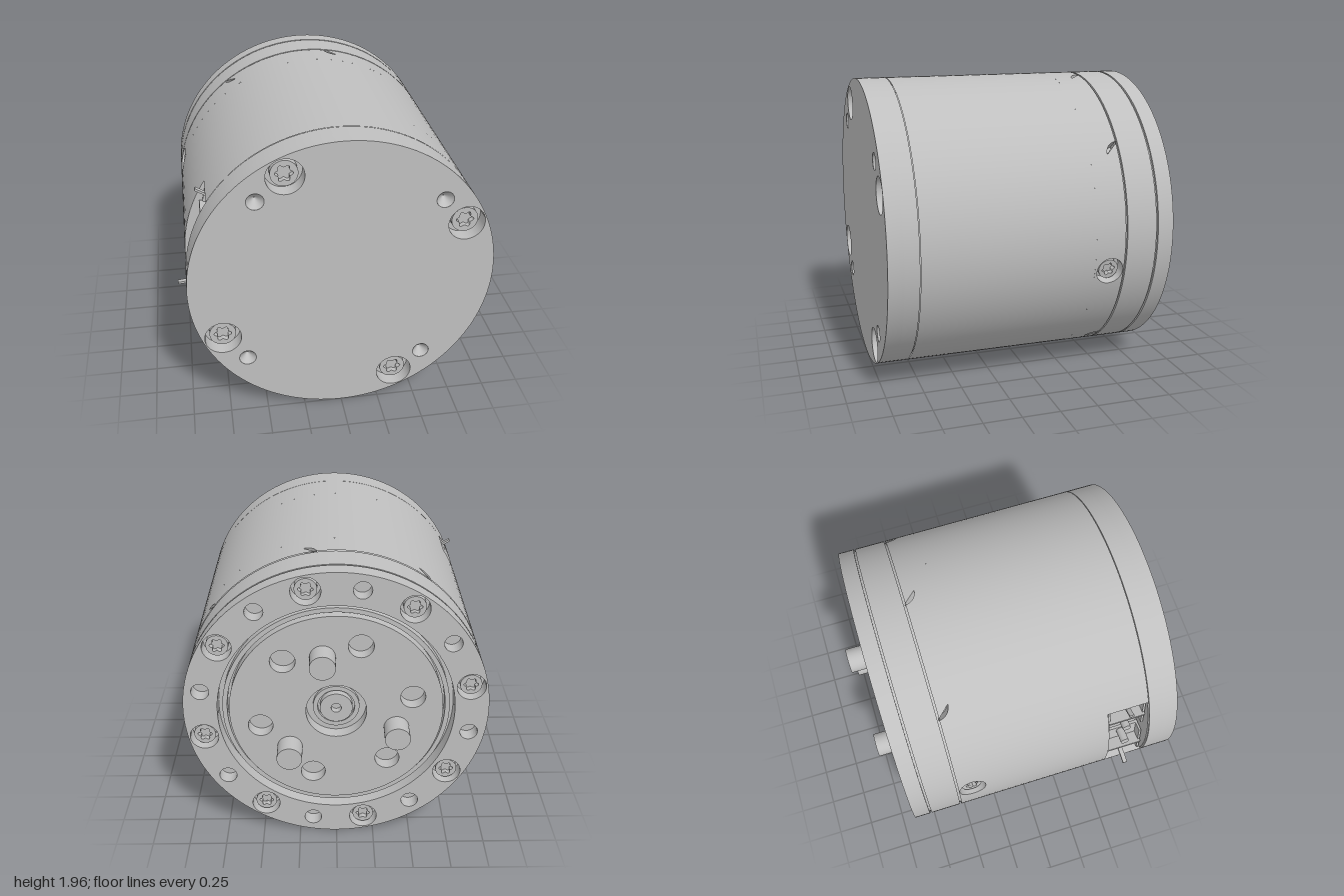
import * as THREE from 'three';
import { toCreasedNormals } from 'three/addons/utils/BufferGeometryUtils.js';
import { ParametricGeometry } from 'three/addons/geometries/ParametricGeometry.js';

const R = 0.978, DEG = Math.PI / 180;
const metal = new THREE.MeshStandardMaterial({ color: 0xbfbfbf, side: THREE.DoubleSide });
metal.name = 'grey metal';

const polar = (r, deg) => [r * Math.cos(deg * DEG), r * Math.sin(deg * DEG)];
const every = (start, step, n) => Array.from({ length: n }, (_, i) => start + i * step);

function add(parent, name, geometry, x = 0, y = 0, z = 0) {
  const mesh = new THREE.Mesh(geometry, metal);
  mesh.name = name;
  mesh.position.set(x, y, z);
  parent.add(mesh);
  return mesh;
}

// Closed cylinder along z between z0 and z1
function rod(parent, name, r, z0, z1, x = 0, y = 0, sides = 128) {
  const g = new THREE.CylinderGeometry(r, r, z1 - z0, sides).rotateX(Math.PI / 2);
  return add(parent, name, g, x, y, (z0 + z1) / 2);
}

// Round plate with round holes [x, y, r], between z0 and z1
function plate(parent, name, r, holes, z0, z1) {
  const shape = new THREE.Shape().absarc(0, 0, r, 0, Math.PI * 2);
  for (const [x, y, hr] of holes) shape.holes.push(new THREE.Path().absarc(x, y, hr, 0, Math.PI * 2, true));
  const g = new THREE.ExtrudeGeometry(shape, { depth: z1 - z0, bevelEnabled: false, curveSegments: 64 });
  return add(parent, name, toCreasedNormals(g, 0.6), 0, 0, z0);
}

// Surface given by angle, height along z and radius
function surface(parent, name, fn, nu, nv) {
  const g = new ParametricGeometry((u, v, t) => {
    const [a, z, r] = fn(u, v);
    t.set(r * Math.cos(a), r * Math.sin(a), z);
  }, nu, nv);
  return add(parent, name, g);
}

function band(parent, name, r, z0, z1, a0 = 0, a1 = 360) {
  const n = Math.max(6, Math.ceil((a1 - a0) / 3));
  return surface(parent, name, (u, v) => [(a0 + (a1 - a0) * u) * DEG, z0 + (z1 - z0) * v, r], n, 1);
}

// Screw head facing +z with a six-lobed socket
function screw(parent, name, r, pos, dir) {
  const g = new THREE.Group();
  g.name = name;
  const shape = new THREE.Shape().absarc(0, 0, r, 0, Math.PI * 2);
  const star = every(0, 5, 72).map((d) => new THREE.Vector2(...polar(r * (0.57 + 0.1 * Math.cos(6 * d * DEG)), d)));
  shape.holes.push(new THREE.Path(star.reverse()));
  const head = new THREE.ExtrudeGeometry(shape, { depth: 0.035, bevelEnabled: false, curveSegments: 20 });
  add(g, 'screwHead', toCreasedNormals(head, 0.6), 0, 0, -0.035);
  rod(g, 'socketFloor', r, -0.055, -0.035, 0, 0, 32);
  g.position.set(...pos);
  g.quaternion.setFromUnitVectors(new THREE.Vector3(0, 0, 1), new THREE.Vector3(...dir));
  parent.add(g);
}

// Wall patch around one cut in the casing; rho gives the cut's edge about (cs, cz)
const PZ = -0.44, PZ0 = -0.535, PZ1 = -0.335, HALF = 0.115;
function wallPatch(parent, deg, cs, cz, rho) {
  const corners = [[-HALF, PZ0 - PZ], [HALF, PZ0 - PZ], [HALF, PZ1 - PZ], [-HALF, PZ1 - PZ]];
  const edge = (u) => {
    const k = Math.min(3, Math.floor(u * 4)), f = u * 4 - k, a = corners[k], b = corners[(k + 1) % 4];
    const p = [a[0] + (b[0] - a[0]) * f, a[1] + (b[1] - a[1]) * f];
    const t = Math.atan2(p[1] - cz, p[0] - cs), d = rho(t);
    return [p, [cs + d * Math.cos(t), cz + d * Math.sin(t)]];
  };
  const place = (s, z, r) => [deg * DEG + s / R, PZ + z, r];
  surface(parent, 'casingPatch', (u, v) => {
    const [p, q] = edge(u);
    return place(p[0] + (q[0] - p[0]) * v, p[1] + (q[1] - p[1]) * v, R);
  }, 96, 3);
  surface(parent, 'cutWall', (u, v) => {
    const q = edge(u)[1];
    return place(q[0], q[1], R - 0.078 * v);
  }, 96, 1);
}

// Polar edge of a crescent: a circle quadrant closed by its chord
const CUT = 0.09, LC = 0.0545;
function crescent(t) {
  const c = Math.cos(t), s = Math.sin(t);
  const b = LC * (c - s);
  const arc = -b + Math.sqrt(b * b + CUT * CUT - 2 * LC * LC);
  const k = s - c;
  return k > 1e-6 ? Math.min(arc, (2 * LC - CUT) / k) : arc;
}

export function createModel() {
  const model = new THREE.Group();
  const motor = new THREE.Group();
  motor.name = 'motor';
  motor.position.y = R;
  model.add(motor);

  // Front cover with four screws and four conical holes
  const frontScrews = every(24.8, 90, 4).map((d) => polar(0.852, d));
  const cones = every(40.8, 90, 4).map((d) => polar(0.822, d));
  plate(motor, 'frontCover', R, [...frontScrews.map((p) => [...p, 0.117]), ...cones.map((p) => [...p, 0.055])], 0.9, 1);
  rod(motor, 'frontCoverBase', R, 0.804, 0.9);
  rod(motor, 'frontSeam', R - 0.01, 0.796, 0.806);
  for (const [x, y] of frontScrews) screw(motor, 'frontScrew', 0.085, [x, y, 0.955], [0, 0, 1]);
  for (const [x, y] of cones) {
    const g = new THREE.CylinderGeometry(0.055, 0.002, 0.06, 32, 1, true).rotateX(Math.PI / 2);
    add(motor, 'conicalHole', g, x, y, 0.969);
  }

  // Casing, with a window left open on one side
  const W0 = 147, W1 = 188;
  band(motor, 'windowBand', R, 0.52, 0.8, W1, W0 + 360);
  band(motor, 'casing', R, PZ1, 0.52);
  rod(motor, 'bulkhead', R - 0.002, 0.5, 0.52);
  rod(motor, 'core', 0.9, -0.55, 0.5);
  band(motor, 'windowBack', 0.8, 0.52, 0.8, W0 - 1, W1 + 1);
  for (const a of [W0, W1]) {
    surface(motor, 'windowEnd', (u, v) => [a * DEG, 0.52 + 0.28 * u, 0.8 + (R - 0.8) * v], 1, 1);
  }

  // Two mirrored connectors inside the window
  const sockets = new THREE.Group();
  sockets.name = 'connectors';
  sockets.rotation.z = 167.5 * DEG;
  motor.add(sockets);
  for (const m of [-1, 1]) {
    add(sockets, 'socketBase', new THREE.BoxGeometry(0.02, 0.26, 0.24), 0.83, m * 0.19, 0.66);
    for (const z of [0.54, 0.78]) add(sockets, 'socketSide', new THREE.BoxGeometry(0.09, 0.26, 0.015), 0.86, m * 0.19, z);
    add(sockets, 'socketWall', new THREE.BoxGeometry(0.11, 0.015, 0.25), 0.87, m * 0.2, 0.66);
    add(sockets, 'contactPin', new THREE.CylinderGeometry(0.028, 0.028, 0.11, 20).rotateZ(Math.PI / 2), 0.88, m * 0.1, 0.66);
    const tab = add(sockets, 'latchTab', new THREE.BoxGeometry(0.16, 0.015, 0.03), 0.905, m * 0.325, 0.66);
    tab.rotation.z = m * 19 * DEG;
  }

  // Ring of side cuts: two hold screws, the others show a crescent
  const h = HALF / R / DEG;
  for (const d of every(33, 45, 8)) {
    band(motor, 'casingBetweenCuts', R, PZ0, PZ1, d + h, d + 45 - h);
    if (d === 168 || d === 348) {
      wallPatch(motor, d, 0, 0, () => CUT);
      screw(motor, 'sideScrew', 0.066, [...polar(0.95, d), PZ], [...polar(1, d), 0]);
    } else {
      wallPatch(motor, d, LC, -LC, (t) => crescent(-t));
    }
  }

  // Rear casing ring between two grooves
  rod(motor, 'rearGroove', R - 0.015, -0.56, -0.53);
  rod(motor, 'rearRing', R, -0.75, -0.547);
  rod(motor, 'flangeGroove', R - 0.015, -0.775, -0.74);

  // Rear flange with eight screws and eight holes
  const rearScrews = every(33, 45, 8).map((d) => polar(0.875, d));
  const rearHoles = every(10.5, 45, 8).map((d) => [...polar(0.875, d), 0.057]);
  plate(motor, 'rearFlange', R, [[0, 0, 0.76], ...rearScrews.map((p) => [...p, 0.092]), ...rearHoles], -0.87, -0.763);
  for (const [x, y] of rearScrews) screw(motor, 'rearScrew', 0.07, [x, y, -0.84], [0, 0, -1]);
  plate(motor, 'bearingRing', 0.73, [[0, 0, 0.7]], -0.835, -0.77);

  // Output disc with six holes, a centre bore and three drive pins
  const discHoles = every(48, 60, 6).map((d) => [...polar(0.5, d), 0.08]);
  plate(motor, 'outputDisc', 0.685, [[0, 0, 0.195], ...discHoles], -0.86, -0.77);
  plate(motor, 'hubRing', 0.15, [[0, 0, 0.12]], -0.8, -0.77);
  plate(motor, 'hubBoss', 0.105, [[0, 0, 0.033]], -0.82, -0.77);
  for (const d of every(78, 120, 3)) rod(motor, 'drivePin', 0.082, -1, -0.8, ...polar(0.409, d), 40);

  return model;
}
